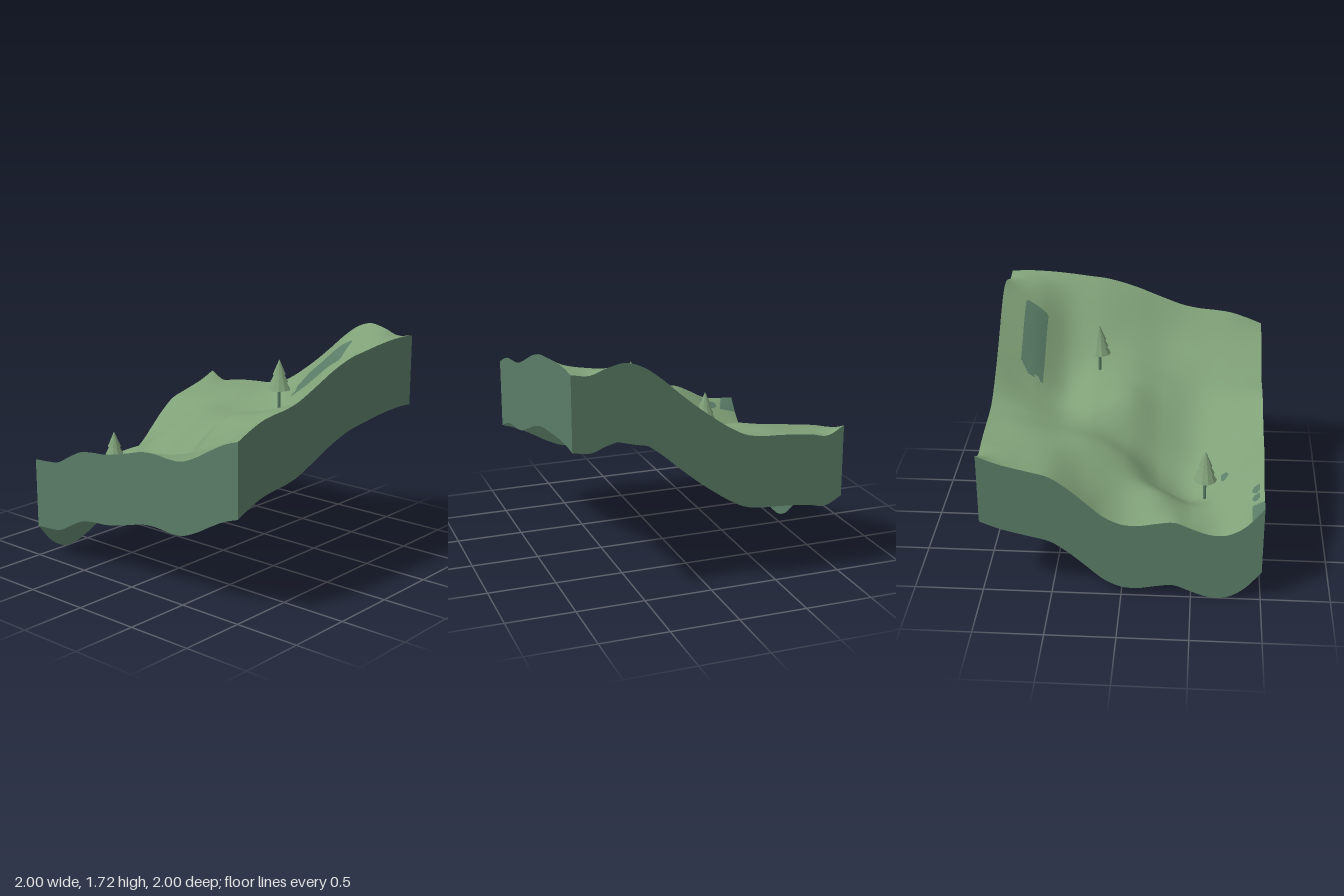
import * as THREE from 'three';

const SIDE = THREE.DoubleSide;
const grass = new THREE.MeshStandardMaterial({ name: 'grass green', color: 0x80a178, side: SIDE });
const earth = new THREE.MeshStandardMaterial({ name: 'dark teal earth', color: 0x5a7d67, side: SIDE });
const foliage = new THREE.MeshStandardMaterial({ name: 'foliage green', color: 0x7f9f78, flatShading: true });

const WALL = 0.53;   // depth of the ground slab
const N = 192;       // terrain cells per side

// Control heights, rows from z = -1 to 1, columns from x = -1 to 1
const H = [
  [1.115, 1.075, 1.10, 1.13, 1.28, 1.48, 1.68, 1.70, 1.68],
  [1.03, 1.05, 1.08, 1.07, 1.11, 1.30, 1.51, 1.62, 1.68],
  [0.965, 1.00, 1.025, 0.995, 0.99, 1.09, 1.28, 1.46, 1.66],
  [0.775, 0.87, 0.965, 0.957, 1.05, 1.12, 1.22, 1.39, 1.635],
  [0.60, 0.755, 0.835, 0.84, 1.055, 1.12, 1.18, 1.30, 1.56],
  [0.625, 0.715, 0.62, 0.67, 0.90, 1.03, 1.10, 1.21, 1.455],
  [0.575, 0.60, 0.525, 0.62, 0.82, 0.96, 1.055, 1.185, 1.39],
  [0.54, 0.62, 0.69, 0.79, 0.90, 0.99, 1.045, 1.175, 1.36],
  [0.77, 0.785, 0.915, 0.945, 1.005, 1.043, 1.04, 1.16, 1.27],
];

// Finer profiles along the four edges
const BACK = [1.115, 1.055, 1.075, 1.09, 1.1, 1.107, 1.13, 1.195, 1.28, 1.375, 1.48, 1.59, 1.68, 1.722, 1.70, 1.66, 1.68];
const FRONT = [0.77, 0.775, 0.79, 0.855, 0.915, 0.935, 0.945, 0.97, 1.003, 1.035, 1.043, 1.033, 1.04, 1.09, 1.16, 1.225, 1.27];
const LEFT = [1.675, 1.682, 1.68, 1.672, 1.66, 1.645, 1.63, 1.6, 1.56, 1.51, 1.46, 1.415, 1.39, 1.378, 1.36, 1.32, 1.27];
const RIGHT = [1.115, 1.065, 1.03, 1.0, 0.965, 0.88, 0.77, 0.66, 0.60, 0.593, 0.615, 0.628, 0.58, 0.537, 0.54, 0.615, 0.765];

// Smooth interpolation through evenly spaced values, t from -1 to 1
function spline(v, t) {
  const n = v.length - 1;
  const s = Math.min(Math.max((t + 1) * n / 2, 0), n);
  const i = Math.min(Math.floor(s), n - 1);
  const f = s - i;
  const a = i > 0 ? v[i - 1] : 2 * v[0] - v[1];
  const d = i < n - 1 ? v[i + 2] : 2 * v[n] - v[n - 1];
  const b = v[i], c = v[i + 1];
  return b + 0.5 * f * (c - a + f * (2 * a - 5 * b + 4 * c - d + f * (3 * (b - c) + d - a)));
}

const surface = (x, z) => spline(H.map((row) => spline(row, x)), z);
const fade = (d) => Math.max(0, 1 - d / 0.25) ** 2;

// Control surface, pulled onto the edge profiles near the border
function height(x, z) {
  return surface(x, z)
    + fade(1 + z) * (spline(BACK, x) - surface(x, -1))
    + fade(1 - z) * (spline(FRONT, x) - surface(x, 1))
    + fade(1 - x) * (spline(LEFT, z) - surface(1, z))
    + fade(1 + x) * (spline(RIGHT, z) - surface(-1, z));
}

// Bare earth patches on the grass
function isBare(x, z) {
  const blob = (cx, cz, rx, rz) => ((x - cx) / rx) ** 2 + ((z - cz) / rz) ** 2 < 1;
  const slope = z > -0.835 && z < -0.668 && x < 0.58
    && x > 0.11 + Math.max(0, -0.77 - z) * 0.9 && !blob(0.11, -0.71, 0.03, 0.02)
    && x - 0.58 < 0.15 - Math.abs(z + 0.75) * 2;
  const corner = z > 0.92 && x < -0.86 - (z - 0.92) * 0.5;
  return slope || corner || blob(-0.8, 0.945, 0.034, 0.027)
    || blob(-0.725, 0.945, 0.032, 0.026) || blob(-0.445, 0.72, 0.03, 0.027);
}

function makeTerrain() {
  const pos = [], green = [], bare = [];
  for (let j = 0; j <= N; j++) {
    for (let i = 0; i <= N; i++) {
      const x = -1 + (2 * i) / N, z = -1 + (2 * j) / N;
      pos.push(x, height(x, z), z);
    }
  }
  for (let j = 0; j < N; j++) {
    for (let i = 0; i < N; i++) {
      const a = j * (N + 1) + i, b = a + 1, c = a + N + 1, d = c + 1;
      const list = isBare(-1 + (2 * i + 1) / N, -1 + (2 * j + 1) / N) ? bare : green;
      list.push(a, c, b, b, c, d);
    }
  }
  const geo = new THREE.BufferGeometry();
  geo.setAttribute('position', new THREE.Float32BufferAttribute(pos, 3));
  geo.setIndex([...green, ...bare]);
  geo.addGroup(0, green.length, 0);
  geo.addGroup(green.length, bare.length, 1);
  geo.computeVertexNormals();
  const mesh = new THREE.Mesh(geo, [grass, earth]);
  mesh.name = 'terrain';
  return mesh;
}

// Side wall hanging from one terrain edge; the path runs left to right seen from outside
function makeWall(name, path) {
  const pos = [], idx = [];
  for (let i = 0; i <= N; i++) {
    const [x, z] = path(-1 + (2 * i) / N);
    const y = height(x, z);
    pos.push(x, y, z, x, y - WALL, z);
    if (i < N) {
      const k = 2 * i;
      idx.push(k, k + 1, k + 2, k + 2, k + 1, k + 3);
    }
  }
  const geo = new THREE.BufferGeometry();
  geo.setAttribute('position', new THREE.Float32BufferAttribute(pos, 3));
  geo.setIndex(idx);
  geo.computeVertexNormals();
  const mesh = new THREE.Mesh(geo, earth);
  mesh.name = name;
  return mesh;
}

// Fir tree with three stacked tiers on a thin trunk
function makeTree(name, x, y, z) {
  const tree = new THREE.Group();
  tree.name = name;
  const trunk = new THREE.Mesh(new THREE.CylinderGeometry(0.011, 0.011, 0.18, 8), earth);
  trunk.name = 'trunk';
  trunk.position.y = 0.08;
  const profile = [[0, 0.15], [0.086, 0.15], [0.054, 0.207], [0.068, 0.207],
    [0.038, 0.265], [0.05, 0.265], [0, 0.38]].map(([r, h]) => new THREE.Vector2(r, h));
  const crown = new THREE.Mesh(new THREE.LatheGeometry(profile, 10), foliage);
  crown.name = 'crown';
  tree.add(trunk, crown);
  tree.position.set(x, y, z);
  return tree;
}

export function createModel() {
  const model = new THREE.Group();
  model.name = 'hillside';
  model.add(
    makeTerrain(),
    makeWall('frontWall', (t) => [t, 1]),
    makeWall('backWall', (t) => [-t, -1]),
    makeWall('leftWall', (t) => [1, -t]),
    makeWall('rightWall', (t) => [-1, t]),
    makeTree('upperTree', 0.333, 1.14, -0.25),
    makeTree('lowerTree', -0.585, 0.59, 0.58),
  );
  return model;
}
